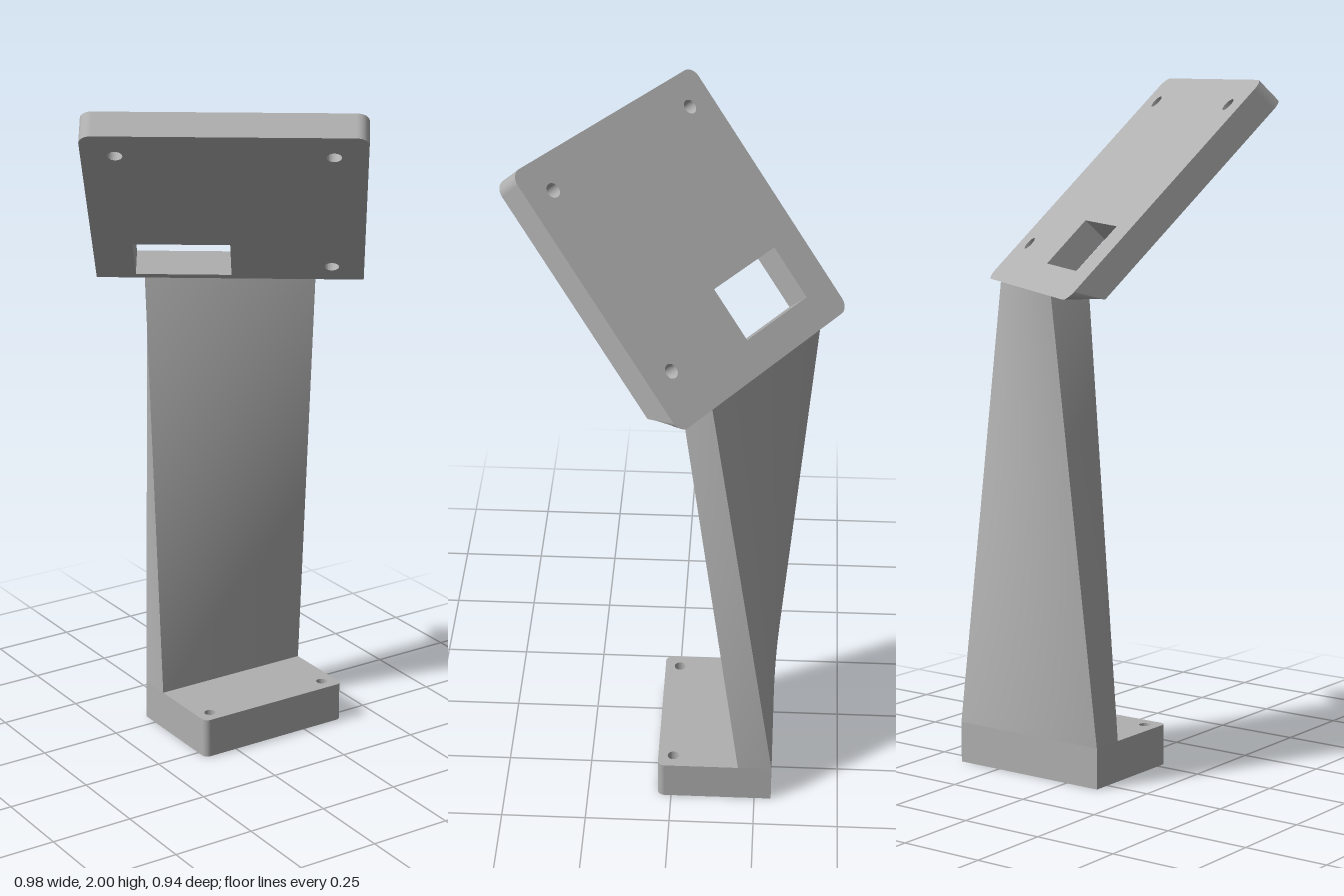
import * as THREE from 'three';

const grey = new THREE.MeshStandardMaterial({ color: 0xb0b0b0 });
grey.name = 'plain grey';

// rectangle x0..x1, y0..y1 with a radius for the lower and the upper corners
function roundedRect(x0, y0, x1, y1, rLow, rHigh) {
  const s = new THREE.Shape();
  s.moveTo(x0 + rLow, y0);
  s.lineTo(x1 - rLow, y0);
  if (rLow) s.absarc(x1 - rLow, y0 + rLow, rLow, -Math.PI / 2, 0, false);
  s.lineTo(x1, y1 - rHigh);
  if (rHigh) s.absarc(x1 - rHigh, y1 - rHigh, rHigh, 0, Math.PI / 2, false);
  s.lineTo(x0 + rHigh, y1);
  if (rHigh) s.absarc(x0 + rHigh, y1 - rHigh, rHigh, Math.PI / 2, Math.PI, false);
  s.lineTo(x0, y0 + rLow);
  if (rLow) s.absarc(x0 + rLow, y0 + rLow, rLow, Math.PI, Math.PI * 1.5, false);
  return s;
}

function addHole(shape, x, y, r) {
  const hole = new THREE.Path();
  hole.absarc(x, y, r, 0, Math.PI * 2, true);
  shape.holes.push(hole);
}

function part(name, geometry) {
  const mesh = new THREE.Mesh(geometry, grey);
  mesh.name = name;
  return mesh;
}

export function createModel() {
  const model = new THREE.Group();
  model.name = 'angledStand';

  // Foot: flat block with rounded front corners and two screw holes
  const foot = roundedRect(-0.11, -0.04, 0.39, 0.3, 0.02, 0);
  for (const x of [-0.065, 0.345]) addHole(foot, x, 0.005, 0.017);
  const footGeo = new THREE.ExtrudeGeometry(foot, { depth: 0.12, bevelEnabled: false, curveSegments: 12 });
  footGeo.rotateX(-Math.PI / 2);
  model.add(part('foot', footGeo));

  // Plate axes: u runs level, v is the level direction of the climb
  const yaw = THREE.MathUtils.degToRad(35);
  const u = new THREE.Vector3(Math.cos(yaw), 0, Math.sin(yaw));
  const v = new THREE.Vector3(-Math.sin(yaw), 0, Math.cos(yaw));
  const run = 0.566, rise = 0.59, length = Math.hypot(run, rise);
  const thick = 0.08, lowY = 1.41;
  const centre = new THREE.Vector3(0.0125, lowY + rise / 2, -0.025);

  // Plate: three screw holes, a slot, and a low end cut level
  const plate = roundedRect(-0.391, -length / 2, 0.391, length / 2, 0.035, 0.035);
  for (const [x, y] of [[-0.297, 0.314], [0.297, 0.314], [0.297, -0.26]]) addHole(plate, x, y, 0.021);
  const slot = new THREE.Path();
  slot.moveTo(-0.275, -0.312);
  slot.lineTo(-0.275, -0.145);
  slot.lineTo(0.005, -0.145);
  slot.lineTo(0.005, -0.312);
  slot.closePath();
  plate.holes.push(slot);
  const plateGeo = new THREE.ExtrudeGeometry(plate, { depth: thick, bevelEnabled: false, curveSegments: 12 });
  const pos = plateGeo.attributes.position;
  for (let i = 0; i < pos.count; i++) {
    const limit = -length / 2 + pos.getZ(i) * run / rise;
    if (pos.getY(i) < limit) pos.setY(i, limit);
  }
  plateGeo.computeVertexNormals();
  const climb = v.clone().multiplyScalar(run / length).setY(rise / length);
  const down = u.clone().cross(climb);
  plateGeo.applyMatrix4(new THREE.Matrix4().makeBasis(u, climb, down).setPosition(centre));
  model.add(part('plate', plateGeo));

  // Arm: twisted loft from the back of the foot to the level cut of the plate
  const bottom = [[-0.11, -0.3], [0.39, -0.3], [0.39, -0.2], [-0.11, -0.2]]
    .map(([x, z]) => new THREE.Vector3(x, 0.12, z));
  const cut = thick * length / rise;
  const top = [[-0.25, 0], [0.25, 0], [0.25, cut], [-0.25, cut]].map(([a, b]) =>
    centre.clone().setY(lowY).addScaledVector(u, a).addScaledVector(v, b - run / 2));
  const arm = new THREE.Group();
  arm.name = 'arm';
  ['armBack', 'armLeft', 'armFront', 'armRight'].forEach((name, i) => {
    const j = (i + 1) % 4;
    const geo = new THREE.PlaneGeometry(1, 1, 10, 32);
    const p = geo.attributes.position;
    for (let k = 0; k < p.count; k++) {
      const across = p.getX(k) + 0.5, t = p.getY(k) + 0.5;
      const a = bottom[j].clone().lerp(top[j], t);
      const b = bottom[i].clone().lerp(top[i], t);
      a.lerp(b, across);
      p.setXYZ(k, a.x, a.y, a.z);
    }
    geo.computeVertexNormals();
    arm.add(part(name, geo));
  });
  model.add(arm);

  return model;
}
